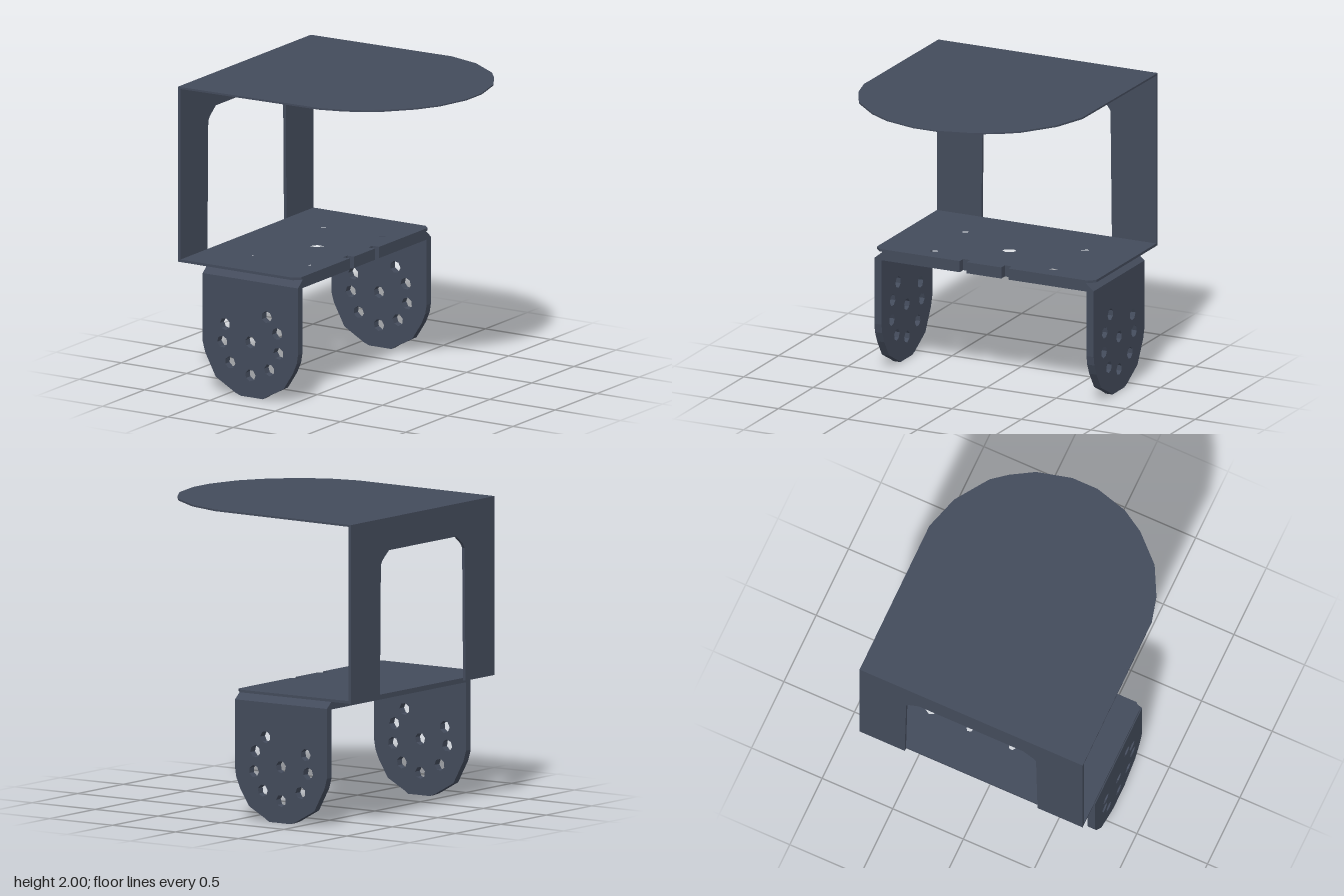
import * as THREE from 'three';

const material = new THREE.MeshStandardMaterial({ color: 0x434b5b, flatShading: true });

// Polygon shape from corner points, with small six- or seven-sided holes [x, y, radius]
function outline(points, holes = [], sides = 7) {
  const shape = new THREE.Shape(points.map(([x, y]) => new THREE.Vector2(x, y)));
  holes.forEach(([cx, cy, r], k) => {
    const ring = [];
    for (let i = 0; i < sides; i++) {
      const a = -(i / sides) * Math.PI * 2 + k * 0.7;
      ring.push(new THREE.Vector2(cx + r * Math.cos(a), cy + r * Math.sin(a)));
    }
    shape.holes.push(new THREE.Path(ring));
  });
  return shape;
}

const sheet = (shape, depth) => new THREE.ExtrudeGeometry(shape, { depth, bevelEnabled: false });

// Horizontal sheet: shape (x, z), given top height
const flat = (shape, depth, top) => sheet(shape, depth).rotateX(Math.PI / 2).translate(0, top, 0);

// Profile (z, y) swept along x, ending at xMax
const across = (shape, depth, xMax) => sheet(shape, depth).rotateY(-Math.PI / 2).translate(xMax, 0, 0);

function add(group, name, geometry) {
  const mesh = new THREE.Mesh(geometry, material);
  mesh.name = name;
  group.add(mesh);
}

// Front edge at x = 0.04 with two small slots, running from +z to -z
const slottedEdge = [];
for (const z of [0.15, -0.15]) {
  slottedEdge.push([0.04, z + 0.025], [-0.01, z + 0.025], [-0.01, z - 0.025], [0.04, z - 0.025]);
}

// Bolt pattern shared by the shelf and the bracket plate
const boltHoles = [[-0.325, 0, 0.06], [-0.57, 0.15, 0.025], [-0.57, -0.15, 0.025]];
for (const x of [-0.55, -0.1]) for (const z of [-0.43, 0.43]) boltHoles.push([x, z, 0.042]);

export function createModel() {
  const model = new THREE.Group();
  model.name = 'mountingBracket';

  // Top plate with rounded nose, tilted very slightly upward toward the nose
  const top = flat(outline([
    [-0.88, 0.79], [-0.88, -0.79], [0.2, -0.79], [0.43, -0.72], [0.65, -0.57], [0.73, -0.47], [0.82, -0.32],
    [0.88, -0.09], [0.88, 0.09], [0.82, 0.31], [0.73, 0.46], [0.56, 0.64], [0.37, 0.74], [0.2, 0.785],
  ]), 0.012, 2);
  const p = top.attributes.position;
  for (let i = 0; i < p.count; i++) {
    const t = (p.getX(i) + 0.88) / 1.76;
    const upper = p.getY(i) > 1.995;
    p.setY(i, upper ? 1.988 + 0.012 * Math.min(1, t * 1.2) : 1.975 + 0.017 * t);
  }
  top.computeVertexNormals();
  add(model, 'topPlate', top);

  // Upright plate with a large window open at the bottom
  add(model, 'uprightPlate', across(outline([
    [-0.79, 0.835], [-0.47, 0.835], [-0.46, 1.69], [-0.44, 1.72], [-0.37, 1.775], [0.37, 1.775],
    [0.44, 1.72], [0.46, 1.69], [0.47, 0.835], [0.79, 0.835], [0.79, 1.985], [-0.79, 1.985],
  ]), 0.02, -0.86));

  // Thin shelf
  add(model, 'shelf', flat(outline([
    [0, 0.79], [0.04, 0.75], ...slottedEdge, [0.04, -0.75], [0, -0.79], [-0.88, -0.79],
    [-0.88, -0.47], [-0.86, -0.47], [-0.86, 0.47], [-0.88, 0.47], [-0.88, 0.79],
  ], boltHoles, 6), 0.017, 0.841));

  // U-shaped bracket under the shelf
  const bracket = new THREE.Group();
  bracket.name = 'lowerBracket';
  model.add(bracket);
  add(bracket, 'bracketPlate', flat(outline([
    [0.04, 0.73], ...slottedEdge, [0.04, -0.73], [-0.69, -0.73], [-0.69, 0.73],
  ], boltHoles, 6), 0.058, 0.824));

  const legHoles = [
    [-0.2, 0.55], [-0.12, 0.45], [-0.11, 0.32], [-0.18, 0.2], [-0.325, 0.145],
    [-0.48, 0.21], [-0.54, 0.34], [-0.52, 0.46], [-0.325, 0.365],
  ].map(([x, y]) => [x, y, 0.04]);
  const legShape = outline([
    [-0.69, 0.75], [-0.69, 0.32], [-0.67, 0.25], [-0.59, 0.1], [-0.44, 0.015], [-0.4, 0], [-0.23, 0],
    [-0.2, 0.02], [-0.07, 0.09], [0, 0.2], [0.03, 0.27], [0.04, 0.33], [0.04, 0.75],
  ], legHoles);

  for (const [side, s] of [['left', 1], ['right', -1]]) {
    // Chamfered bend joining plate and leg
    add(bracket, side + 'Bend', across(outline([
      [0.73, 0.824], [0.79, 0.775], [0.79, 0.75], [0.738, 0.75], [0.738, 0.766], [0.73, 0.766],
    ].map(([z, y]) => [z * s, y])), 0.73, 0.04));
    // Rounded leg with a ring of holes
    add(bracket, side + 'Leg', sheet(legShape, 0.052).translate(0, 0, s > 0 ? 0.738 : -0.79));
  }
  return model;
}
